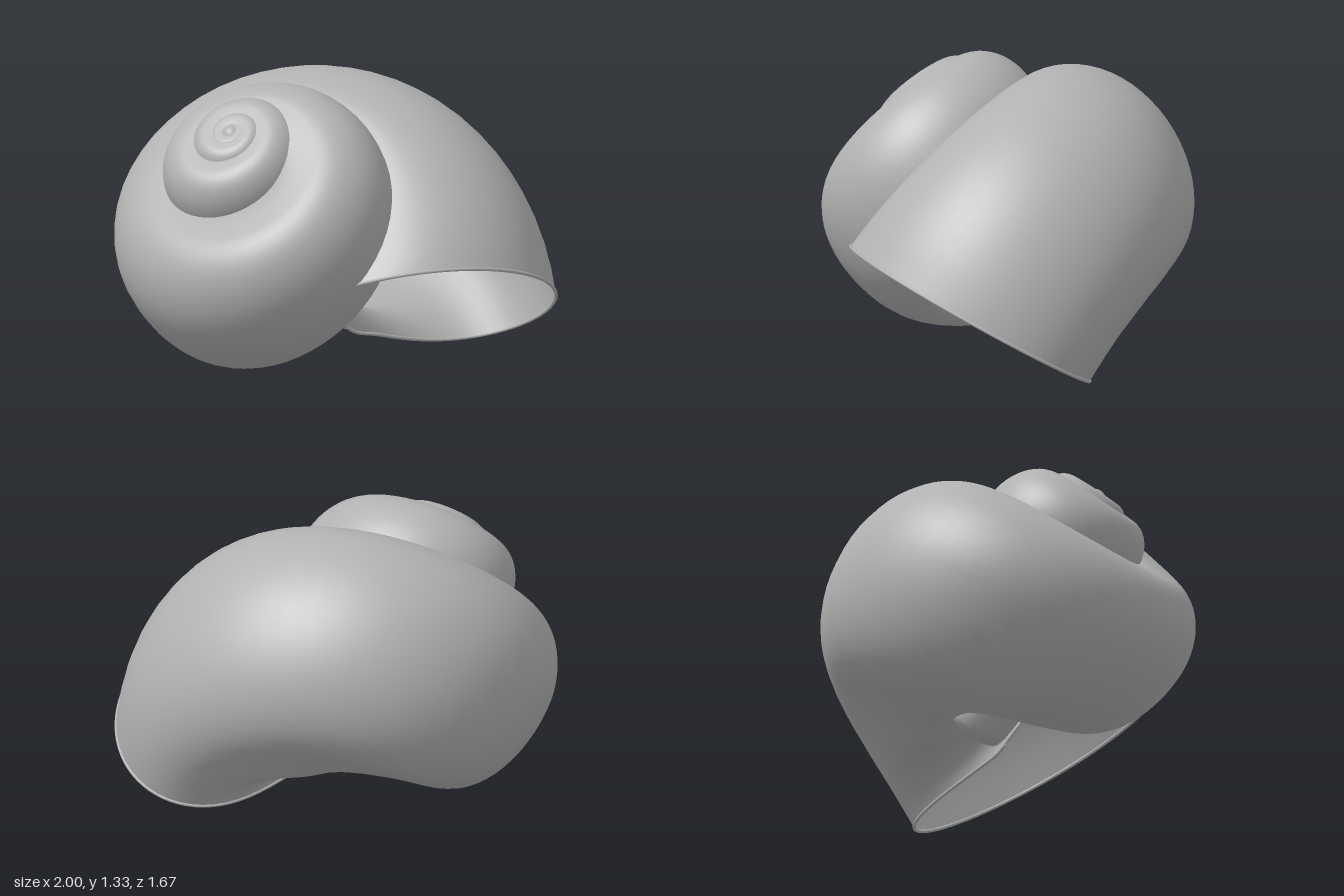
import * as THREE from 'three';

const RAD = Math.PI / 180;
const { smoothstep, clamp } = THREE.MathUtils;

// Coiling axis frame: axis points from the umbilicus to the apex
const base = new THREE.Vector3(0.13, 0.055, -0.185);
const axis = new THREE.Vector3(-0.485, 0.758, 0.435).normalize();
const u = new THREE.Vector3(0.667, 0, 0.745);
u.addScaledVector(axis, -u.dot(axis)).normalize();
const v = new THREE.Vector3().crossVectors(axis, u);

// Point from radius, height along the axis and angle back from the mouth
function fromAxis(r, h, angle, shift = 0) {
  return base.clone()
    .addScaledVector(axis, h)
    .addScaledVector(u, r * Math.cos(angle) - shift)
    .addScaledVector(v, r * Math.sin(angle) + shift);
}

// Smooth swelling between two angles
function bump(deg, from, to, amount) {
  if (deg <= from || deg >= to) return 0;
  return amount * Math.sin(Math.PI * (deg - from) / (to - from)) ** 2;
}

// Whorl cross-section that shrinks by a fixed ratio per turn
function whorlPoint(deg, phi) {
  const c = Math.cos(phi), n = Math.sin(phi);
  const s = Math.pow(1.9, -deg / 360);
  const size = s * (1 + bump(deg, 0, 270, 0.09) + bump(deg, 290, 620, 0.08));

  // Behind the mouth the inner half fills out towards the axis and the base deepens
  const full = smoothstep(deg, 0, 100);
  const power = c < 0 ? 1 - full * (n < 0 ? 0.5 : 0.35) : 1;
  const across = Math.sign(c) * Math.abs(c) ** power * (c < 0 ? 0.465 + 0.14 * full : 0.46);
  const along = Math.sign(n) * Math.abs(n) ** power * 0.6 *
    (n < 0 ? 1 + 0.26 * smoothstep(deg, 80, 230) : 0.95 + 0.05 * smoothstep(deg, 150, 300));
  const r = size * (0.63 + across);
  const h = 1.38 - 0.426 * s - 0.684 * s * s + size * along;

  // Slant the mouth so that its rim lies in one plane
  const mouthR = 0.63 + 0.46 * c, mouthH = 0.27 + (n < 0 ? 0.6 : 0.57) * n;
  const k = clamp(-(0.0575 + 0.51 * mouthH) / (1.031 * mouthR), -0.85, 0.85);
  const slant = (Math.asin(k) + 24.35 * RAD) * Math.max(0, 1 - deg / 200);
  const shift = 0.1 * smoothstep(deg, 330, 700);
  return fromAxis(r, h, deg * RAD + slant, shift);
}

// Spiral surface swept from the mouth back to the apex
function spiralGeometry() {
  const rings = 260, sides = 56, total = 1800;
  const pos = [], index = [];
  for (let i = 0; i <= rings; i++) {
    for (let j = 0; j < sides; j++) {
      pos.push(...whorlPoint(total * i / rings, j / sides * Math.PI * 2).toArray());
    }
  }
  for (let i = 0; i < rings; i++) {
    for (let j = 0; j < sides; j++) {
      const a = i * sides + j, b = i * sides + (j + 1) % sides;
      index.push(a, a + sides, b, b, a + sides, b + sides);
    }
  }
  const g = new THREE.BufferGeometry();
  g.setAttribute('position', new THREE.Float32BufferAttribute(pos, 3));
  g.setIndex(index);
  g.computeVertexNormals();
  return g;
}

export function createModel() {
  const grey = new THREE.MeshStandardMaterial({ color: 0xb2b2b2, side: THREE.DoubleSide });
  grey.name = 'shell grey';
  const shell = new THREE.Group();
  shell.name = 'snailShell';
  const add = (name, geometry) => {
    const mesh = new THREE.Mesh(geometry, grey);
    mesh.name = name;
    shell.add(mesh);
    return mesh;
  };

  add('whorls', spiralGeometry());

  // Slightly thickened rim of the mouth
  const rim = [];
  for (let j = 0; j < 32; j++) rim.push(whorlPoint(0, j / 32 * Math.PI * 2));
  add('lip', new THREE.TubeGeometry(new THREE.CatmullRomCurve3(rim, true), 96, 0.008, 8, true));

  // Central pillar closing the umbilicus
  const profile = [[0.001, 0.14], [0.08, 0.15], [0.14, 0.22], [0.15, 0.6], [0.1, 0.9], [0.001, 1.05]];
  const pillar = add('columella', new THREE.LatheGeometry(
    new THREE.SplineCurve(profile.map(p => new THREE.Vector2(...p))).getPoints(20), 24));
  pillar.position.copy(base);
  pillar.quaternion.setFromUnitVectors(new THREE.Vector3(0, 1, 0), axis);

  // Rounded tip of the spire
  add('apex', new THREE.SphereGeometry(0.05, 20, 14)).position.copy(fromAxis(0, 1.35, 0, 0.1));

  return shell;
}
